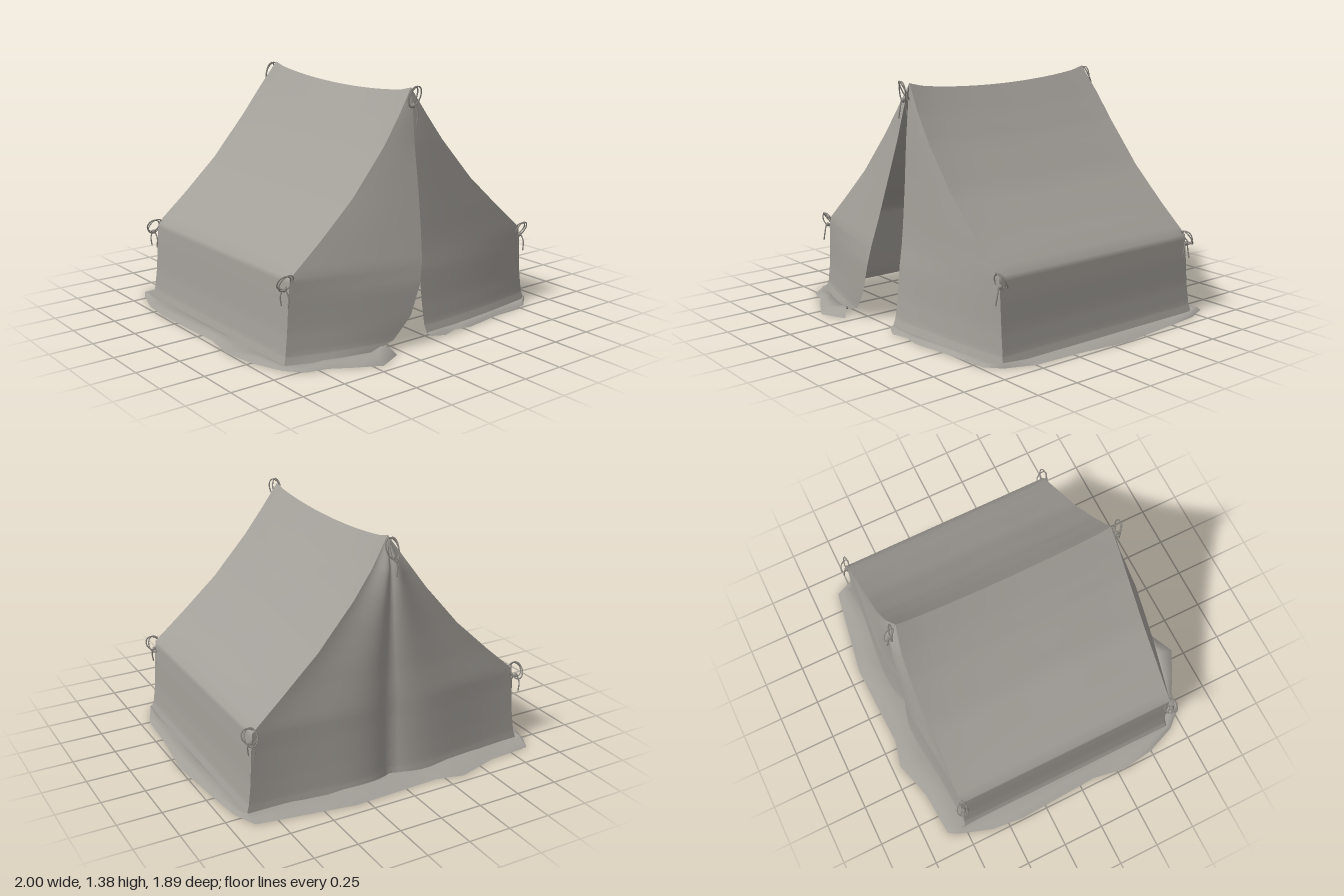
import * as THREE from 'three';

const canvas = new THREE.MeshStandardMaterial({ color: 0xa29e98, side: THREE.DoubleSide });
canvas.name = 'canvas';
const rope = new THREE.MeshStandardMaterial({ color: 0x8e8a84 });
rope.name = 'rope';

const { lerp, clamp } = THREE.MathUtils;

// Straight-line lookup in a table of rows, t from 0 to 1
function sample(table, t) {
  const f = t * (table.length - 1);
  const i = Math.min(Math.floor(f), table.length - 2);
  return table[i].map((a, k) => lerp(a, table[i + 1][k], f - i));
}

// Cloth surface: a grid of points from a rule of (u, v)
function sheet(name, nu, nv, rule, flip = false) {
  const pos = [], index = [];
  for (let j = 0; j <= nv; j++)
    for (let i = 0; i <= nu; i++) pos.push(...rule(i / nu, j / nv));
  for (let j = 0; j < nv; j++)
    for (let i = 0; i < nu; i++) {
      const a = j * (nu + 1) + i, b = a + 1, c = a + nu + 1, d = c + 1;
      if (flip) index.push(a, b, c, b, d, c);
      else index.push(a, c, b, b, c, d);
    }
  const g = new THREE.BufferGeometry();
  g.setAttribute('position', new THREE.Float32BufferAttribute(pos, 3));
  g.setIndex(index);
  g.computeVertexNormals();
  const mesh = new THREE.Mesh(g, canvas);
  mesh.name = name;
  return mesh;
}

// Half section from ridge to foot: x, y, front z, back z
const section = [
  [0, 1.36, 0.605, -0.67], [0.1, 1.21, 0.62, -0.70], [0.21, 1.06, 0.63, -0.71],
  [0.42, 0.82, 0.64, -0.715], [0.63, 0.63, 0.645, -0.72], [0.825, 0.465, 0.645, -0.73],
  [0.835, 0.35, 0.645, -0.73], [0.845, 0.18, 0.645, -0.735], [0.86, 0.06, 0.65, -0.74],
  [0.875, 0.015, 0.66, -0.745],
];

// Roof and side wall, u from front to back, v from ridge to foot
function hull(side, u, v) {
  const [x, y, zf, zb] = sample(section, v);
  const sag = Math.sin(Math.PI * u) ** 0.6;
  const fullness = 0.014 * Math.sin(Math.PI * clamp(v * 1.8, 0, 1)) * Math.min(1, u * 3);
  return [
    side * (x + fullness),
    y - 0.055 * sag * Math.max(0, 1 - v * 2) + 0.02 * u * (1 - v) ** 4,
    lerp(zf, zb, u),
  ];
}

// Free edges of the two door flaps from top to bottom: x, z
const openEdge = [
  [0, 0.605], [-0.012, 0.64], [-0.025, 0.67], [-0.045, 0.73], [-0.065, 0.775],
  [-0.088, 0.815], [-0.112, 0.83], [-0.17, 0.825], [-0.27, 0.805], [-0.4, 0.79],
];
const closedEdge = [[0, 0.605], [0, 0.665], [0.015, 0.75]];

function door(name, side, edge, bulge) {
  return sheet(name, 12, 36, (u, v) => {
    const [x, y, z] = hull(side, 0, v);
    const [ex, ez] = sample(edge, v);
    const fold = bulge * Math.sin(Math.PI * u) * v;
    return [lerp(x, ex, u), y, lerp(z, ez, u) + fold];
  }, side < 0);
}

// Outer rim of the ground hem, from the closed flap round the back to the open flap
const rim = [
  [0.02, 0.77], [0.1, 0.81], [0.2, 0.78], [0.3, 0.80], [0.55, 0.76], [0.8, 0.73], [0.88, 0.66],
  [0.945, 0.5], [0.96, 0.2], [0.995, -0.1], [0.96, -0.45], [0.93, -0.7], [0.87, -0.84],
  [0.5, -0.90], [0.32, -0.93], [0.05, -0.92], [-0.2, -0.91], [-0.36, -0.95], [-0.6, -0.88],
  [-0.87, -0.86], [-0.91, -0.78], [-0.97, -0.6], [-0.99, -0.4], [-0.965, 0.1], [-1, 0.3],
  [-0.97, 0.5], [-0.9, 0.68], [-0.82, 0.77], [-0.7, 0.80], [-0.6, 0.86], [-0.45, 0.94], [-0.3, 0.87],
];

function hem() {
  const n = rim.length - 1;
  return sheet('groundHem', n, 3, (u, v) => {
    const i = Math.round(u * n);
    const [x, z] = rim[i];
    // Foot of the cloth nearest to this rim point
    const front = z > 0.65;
    const footX = clamp(x, -0.875, front && x < 0 ? -0.4 : 0.875);
    const slope = footX < 0 ? (footX + 0.875) / 0.475 : (0.875 - footX) / 0.86;
    const footZ = front
      ? lerp(0.66, footX < 0 ? 0.79 : 0.75, slope) + 0.015 * Math.sin(Math.PI * clamp(slope, 0, 1))
      : clamp(z, -0.745, 0.66);
    const crumple = 0.012 * Math.sin(Math.PI * v) * (1 + Math.sin(i * 2.3));
    const curl = i > n - 3 ? 0.025 * Math.sin(Math.PI * v) : 0;
    return [lerp(footX, x, v), lerp(0.015, 0.003, v) + crumple + curl, lerp(footZ, z, v)];
  });
}

// Back wall: one cloth with a centre seam and a pleat either side, fuller towards the ground
function backWall() {
  return sheet('backWall', 40, 36, (u, v) => {
    const s = u * 2 - 1;
    const [x, y, z] = hull(1, 1, v);
    const pleat = Math.sin(Math.PI * Math.sqrt(Math.abs(s))) ** 2;
    return [x * s, y, z - lerp(0.03, 0.05, v) * pleat * Math.min(1, v * 8)];
  }, true);
}

function cord(points, closed) {
  const curve = new THREE.CatmullRomCurve3(points.map(p => new THREE.Vector3(...p)), closed);
  return new THREE.Mesh(new THREE.TubeGeometry(curve, closed ? 20 : 8, 0.004, 5, closed), rope);
}

// Tie: two crossed loops, a knot and two hanging ends
function tie(name, x, y, z, width, height) {
  const g = new THREE.Group();
  for (let k = 0; k < 2; k++) {
    const ring = [];
    for (let i = 0; i < 8; i++) {
      const a = (i / 8) * Math.PI * 2;
      ring.push([Math.cos(a) * width, Math.sin(a) * height, Math.sin(a + k) * 0.03 + (k ? 0.008 : -0.008)]);
    }
    const loop = cord(ring, true);
    loop.rotation.y = k * 0.9 - 0.2;
    g.add(loop);
  }
  for (const s of [-1, 1])
    g.add(cord([[0, -height * 0.7, s * 0.01], [s * 0.008, -height - 0.03, s * 0.025], [0, -height - 0.085, s * 0.03]], false));
  const knot = new THREE.Mesh(new THREE.SphereGeometry(0.013, 8, 6), rope);
  knot.position.y = -height * 0.8;
  g.add(knot);
  g.position.set(x, y, z);
  g.name = name;
  return g;
}

export function createModel() {
  const tent = new THREE.Group();
  tent.name = 'tent';

  for (const side of [1, -1])
    tent.add(sheet(side > 0 ? 'leftRoofAndWall' : 'rightRoofAndWall', 16, 36,
      (u, v) => hull(side, u, v), side < 0));

  tent.add(
    door('closedDoorFlap', 1, closedEdge, 0.015),
    door('openDoorFlap', -1, openEdge, 0.015),
    backWall(),
    hem(),
  );

  // Ties at both ridge ends and the four eave corners
  for (const [end, zRidge, zEave] of [['front', 0.64, 0.645], ['back', -0.715, -0.73]]) {
    tent.add(tie(end + 'RidgeTie', -0.012, 1.315, zRidge, 0.024, 0.058));
    tent.add(tie(end + 'LeftEaveTie', 0.835, 0.45, zEave, 0.034, 0.042));
    tent.add(tie(end + 'RightEaveTie', -0.858, 0.45, zEave, 0.036, 0.042));
  }
  return tent;
}
